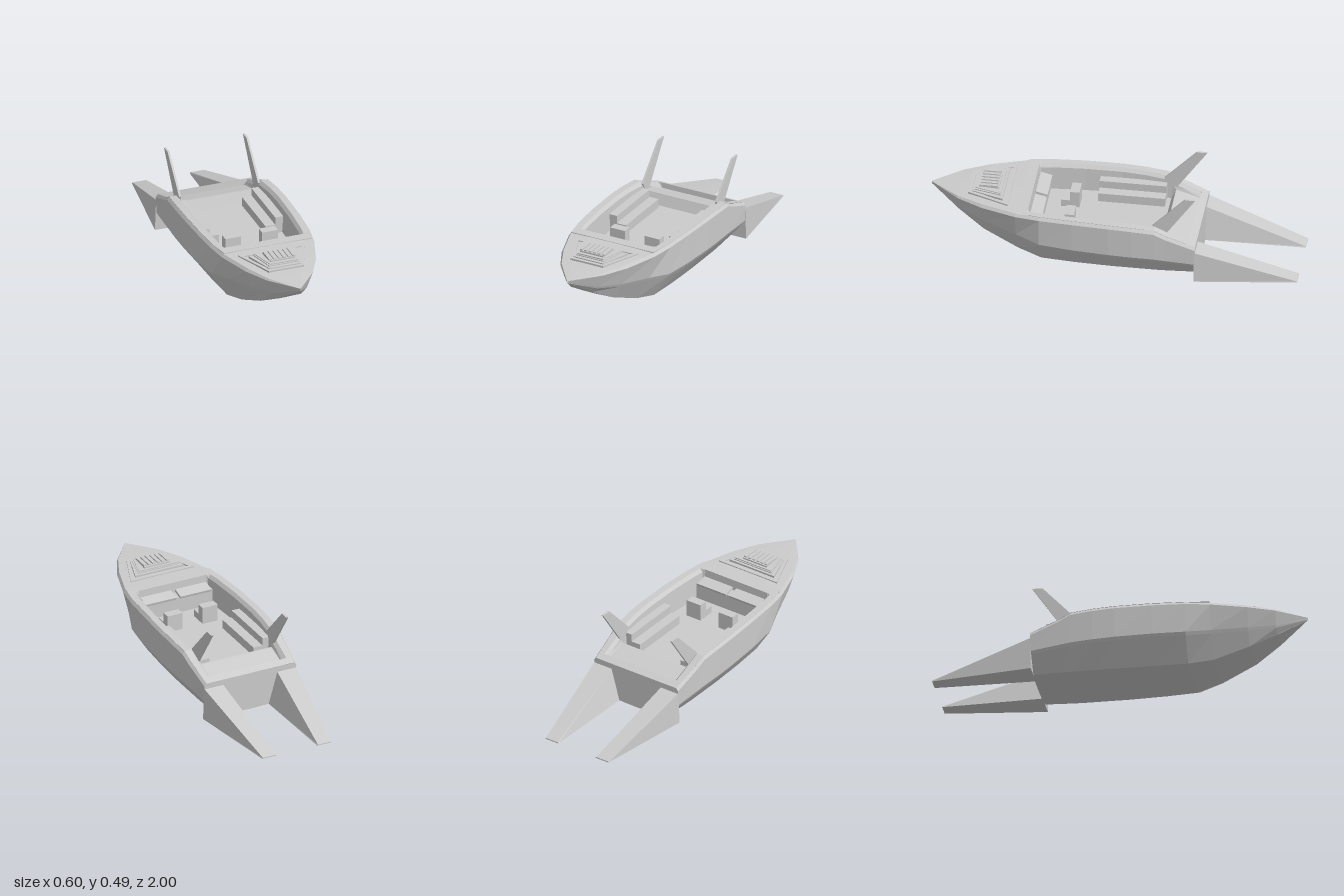
import * as THREE from 'three';

const material = new THREE.MeshStandardMaterial({
  color: 0xcccccc, flatShading: true, side: THREE.DoubleSide,
});

// Stations bow to stern: z, bottom y, bottom half-width, chine x, chine y, sheer x, sheer y
const STATIONS = [
  [0.995, 0.305, 0, 0, 0.308, 0.003, 0.318],
  [0.84, 0.2, 0.065, 0.1, 0.24, 0.13, 0.324],
  [0.7, 0.12, 0.115, 0.165, 0.21, 0.2, 0.328],
  [0.51, 0.04, 0.15, 0.228, 0.18, 0.262, 0.33],
  [0.38, 0.012, 0.185, 0.277, 0.158, 0.284, 0.333],
  [0.2, 0.008, 0.195, 0.294, 0.152, 0.296, 0.333],
  [0, 0.006, 0.2, 0.301, 0.146, 0.302, 0.329],
  [-0.12, 0.006, 0.2, 0.299, 0.141, 0.3, 0.323],
  [-0.24, 0.006, 0.2, 0.292, 0.135, 0.293, 0.312],
  [-0.3, 0.006, 0.198, 0.287, 0.128, 0.288, 0.281],
  [-0.46, 0.008, 0.19, 0.272, 0.11, 0.275, 0.217],
];

// Interpolated half-width and height of the sheer at any z
function sheer(z) {
  let i = 0;
  while (i < STATIONS.length - 2 && STATIONS[i + 1][0] > z) i++;
  const a = STATIONS[i], b = STATIONS[i + 1];
  const t = THREE.MathUtils.clamp((a[0] - z) / (a[0] - b[0]), 0, 1);
  return { w: a[5] + (b[5] - a[5]) * t, y: a[6] + (b[6] - a[6]) * t };
}

function add(parent, name, geometry) {
  const mesh = new THREE.Mesh(geometry, material);
  mesh.name = name;
  parent.add(mesh);
  return mesh;
}

// Half profile (centre outwards) to a full profile from -x to +x
const mirrored = (half) => [...half.map(([x, y]) => [-x, y]).reverse(), ...half];

// Skin over sections { z, pts } running front to back; flip for upward-facing decks
function loft(sections, { flip = false, closed = false, capStart = false, capEnd = false } = {}) {
  const out = [];
  const tri = (a, b, c) => out.push(...a, ...(flip ? c : b), ...(flip ? b : c));
  const rings = sections.map(({ z, pts }) => pts.map(([x, y]) => [x, y, z]));
  const n = rings[0].length;
  for (let i = 0; i < rings.length - 1; i++) {
    for (let j = 0; j < (closed ? n : n - 1); j++) {
      const k = (j + 1) % n, a = rings[i], b = rings[i + 1];
      tri(a[j], b[j], b[k]);
      tri(a[j], b[k], a[k]);
    }
  }
  const first = rings[0], last = rings[rings.length - 1];
  for (let j = 1; j < n - 1; j++) {
    if (capStart) tri(first[0], first[j], first[j + 1]);
    if (capEnd) tri(last[0], last[j + 1], last[j]);
  }
  const g = new THREE.BufferGeometry();
  g.setAttribute('position', new THREE.Float32BufferAttribute(out, 3));
  g.computeVertexNormals();
  return g;
}

function box(parent, name, x0, x1, y0, y1, z0, z1) {
  const g = new THREE.BoxGeometry(Math.abs(x1 - x0), y1 - y0, z1 - z0);
  g.translate((x0 + x1) / 2, (y0 + y1) / 2, (z0 + z1) / 2);
  return add(parent, name, g);
}

// Flat trapezoid plate, wide at the back, with an optional hole inset
function plate(back, front, z0, z1, y, h, inset = 0) {
  const corners = (d) => [[-back + 1.4 * d, z0 + d], [back - 1.4 * d, z0 + d],
    [front - 0.8 * d, z1 - d], [-front + 0.8 * d, z1 - d]].map(([a, b]) => new THREE.Vector2(a, b));
  const shape = new THREE.Shape(corners(0));
  if (inset) shape.holes.push(new THREE.Path(corners(inset).reverse()));
  const g = new THREE.ExtrudeGeometry(shape, { depth: h, bevelEnabled: false });
  return g.rotateX(Math.PI / 2).translate(0, y + h, 0);
}

export function createModel() {
  const boat = new THREE.Group();
  boat.name = 'speedboat';

  // Hull with flat bottom, chine and bevelled sheer
  add(boat, 'hull', loft(STATIONS.map(([z, by, bx, cx, cy, w, y]) => {
    const s = Math.min(1, w / 0.2);
    return { z, pts: mirrored([[0, by - 0.005 * s], [bx, by], [Math.max(0, cx - 0.009 * s), cy - 0.017 * s],
      [cx, cy], [w, y - 0.016 * s], [w - 0.012 * s, y]]) };
  }), { capEnd: true }));

  // Foredeck, slightly crowned
  add(boat, 'foredeck', loft([0.995, 0.84, 0.7, 0.51, 0.5].map((z) => {
    const { w, y } = sheer(z);
    const s = Math.min(1, w / 0.2);
    return { z, pts: mirrored([[0, y + 0.004 * s], [w * 0.55, y + 0.003 * s], [w - 0.012 * s, y]]) };
  }), { flip: true }));

  // Crossbeam, gunwales, cockpit well and sloping aft deck: z, inner half-width, floor y, rise
  const FLOOR = 0.185;
  const well = [
    [0.507, 0.2, null, -0.02], [0.506, 0.2, null, 0.006], [0.447, 0.205, null, 0.004],
    [0.44, 0.212, FLOOR, 0.003], [0.38, 0.22, FLOOR, 0.002], [0.2, 0.232, FLOOR, 0.002], [0, 0.238, FLOOR, 0.002],
    [-0.12, 0.235, FLOOR, 0.002], [-0.24, 0.226, FLOOR, 0.002], [-0.262, 0.224, FLOOR, 0.002],
    [-0.288, 0.222, 0.243, 0.002], [-0.3, 0.222, 0.241, 0.002], [-0.42, 0.22, 0.205, 0.002],
    [-0.423, 0.22, null, 0.002], [-0.46, 0.218, null, 0.001],
  ];
  add(boat, 'cockpitWell', loft(well.map(([z, inner, floor, rise]) => {
    const s = sheer(z), y = s.y + rise;
    const half = floor === null
      ? [[0, y], [inner - 0.008, y], [inner, y], [inner + 0.015, y]]
      : [[0, floor], [inner - 0.008, floor], [inner, y - 0.018], [inner + 0.015, y]];
    return { z, pts: mirrored([...half, [s.w - 0.012, y]]) };
  }), { flip: true }));

  // Stepped foredeck vent with slats
  const vent = new THREE.Group();
  vent.name = 'foredeckVent';
  boat.add(vent);
  add(vent, 'ventFrame', plate(0.19, 0.1, 0.56, 0.785, 0.324, 0.014, 0.018));
  add(vent, 'ventBase', plate(0.145, 0.09, 0.595, 0.765, 0.324, 0.019));
  add(vent, 'ventRim', plate(0.122, 0.085, 0.605, 0.752, 0.346, 0.005));
  add(vent, 'ventNeck', plate(0.112, 0.075, 0.612, 0.745, 0.34, 0.018));
  add(vent, 'ventUpperRim', plate(0.118, 0.08, 0.608, 0.748, 0.355, 0.004));
  add(vent, 'ventTop', plate(0.077, 0.07, 0.622, 0.73, 0.357, 0.01));
  for (let i = 0; i < 6; i++) {
    const x = -0.0675 + i * 0.027;
    box(vent, 'ventSlat', x - 0.008, x + 0.008, 0.365, 0.374, 0.63, 0.725);
  }

  // Dashboard with two sloping panels
  box(boat, 'dashboard', -0.21, 0.21, FLOOR, 0.275, 0.385, 0.445);
  for (const x of [-0.105, 0.105]) {
    const panel = add(boat, 'dashPanel', new THREE.BoxGeometry(0.185, 0.014, 0.065));
    panel.position.set(x, 0.284, 0.408);
    panel.rotation.x = -0.25;
  }

  for (const s of [-1, 1]) {
    // Side bench with backrest along the cockpit wall
    box(boat, 'benchSeat', s * 0.132, s * 0.187, FLOOR, 0.235, -0.24, 0.12);
    box(boat, 'benchBack', s * 0.187, s * 0.234, FLOOR, 0.278, -0.24, 0.12);

    // Front seat
    box(boat, 'seatCushion', s * 0.06, s * 0.15, FLOOR, 0.225, 0.26, 0.31);
    box(boat, 'seatBack', s * 0.06, s * 0.15, FLOOR, 0.28, 0.21, 0.26);

    // Raked stern fin
    const profile = [[-0.225, 0.31], [-0.4, 0.494], [-0.455, 0.494], [-0.297, 0.265], [-0.42, 0.21], [-0.28, 0.21]];
    const fin = new THREE.ExtrudeGeometry(
      new THREE.Shape(profile.map(([z, y]) => new THREE.Vector2(-z, y))),
      { depth: 0.011, bevelEnabled: false });
    fin.rotateY(Math.PI / 2).translate(s * 0.2245 - 0.0055, 0, 0);
    add(boat, 'sternFin', fin);

    // Tapering stern sponson
    const ring = (pts) => (s > 0 ? pts : pts.map(([x, y]) => [-x, y]).reverse());
    add(boat, 'sternSponson', loft([
      { z: -0.455, pts: ring([[0.11, 0.006], [0.281, 0.006], [0.275, 0.187], [0.162, 0.187]]) },
      { z: -1, pts: ring([[0.122, 0.003], [0.206, 0.003], [0.204, 0.009], [0.126, 0.009]]) },
    ], { closed: true, capStart: true, capEnd: true }));
  }

  return boat;
}
